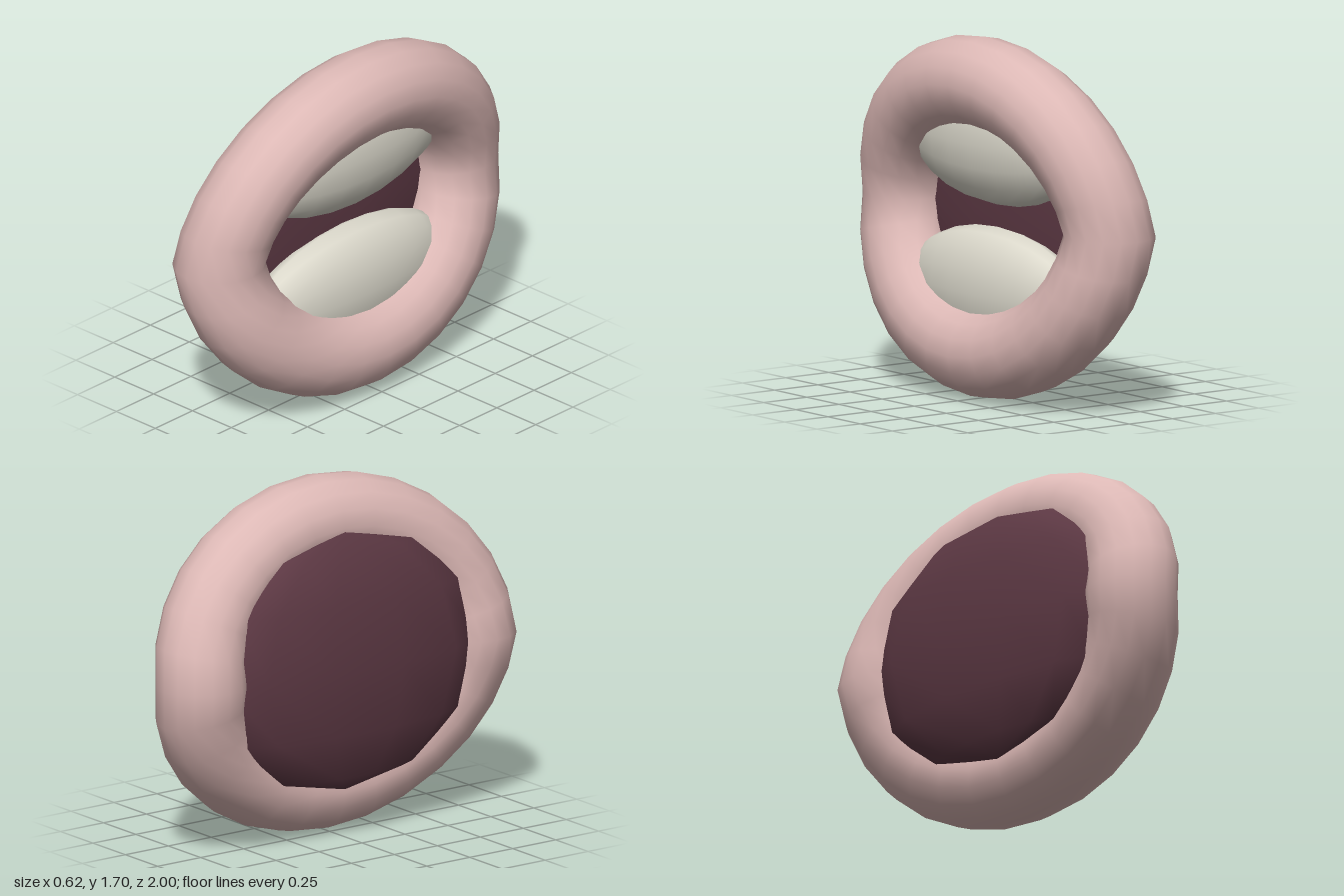
import * as THREE from 'three';
import { mergeVertices } from 'three/addons/utils/BufferGeometryUtils.js';

const MID_Y = 0.85;

function makeMaterial(name, color) {
  const material = new THREE.MeshStandardMaterial({ color });
  material.name = name;
  return material;
}

// Oval ring facing +x, its upper and lower halves bent forward from the corners
function lipGeometry() {
  const geo = new THREE.TorusGeometry(1, 0.2, 16, 28);
  const pos = geo.attributes.position;
  const uv = geo.attributes.uv;
  for (let i = 0; i < pos.count; i++) {
    const t = uv.getX(i) * Math.PI * 2;
    const p = uv.getY(i) * Math.PI * 2;
    const bend = -0.05 + 0.143 * Math.abs(Math.sin(t));
    pos.setXYZ(
      i,
      bend + 0.215 * Math.sin(p),
      (0.638 + 0.212 * Math.cos(p)) * Math.sin(t),
      -(0.78 + 0.22 * Math.cos(p)) * Math.cos(t)
    );
  }
  geo.deleteAttribute('uv');
  geo.deleteAttribute('normal');
  const merged = mergeVertices(geo, 1e-4);
  merged.computeVertexNormals();
  return merged;
}

// Coarse flattened ellipsoid, shallower on the front than on the back
function cavityGeometry() {
  const geo = new THREE.SphereGeometry(1, 12, 6, Math.PI / 12);
  const pos = geo.attributes.position;
  for (let i = 0; i < pos.count; i++) {
    const x = pos.getX(i);
    pos.setXYZ(i, x * (x < 0 ? 0.197 : 0.12), pos.getY(i) * 0.62, pos.getZ(i) * 0.77);
  }
  geo.deleteAttribute('uv');
  geo.deleteAttribute('normal');
  const merged = mergeVertices(geo, 1e-4);
  merged.computeVertexNormals();
  return merged;
}

export function createModel() {
  const model = new THREE.Group();
  model.name = 'mouth';

  const lipPink = makeMaterial('lipPink', 0xdcb8b5);
  const toothIvory = makeMaterial('toothIvory', 0xdcd9cc);
  const cavityMaroon = makeMaterial('cavityMaroon', 0x5c3843);

  const add = (name, geo, material, x, y) => {
    const mesh = new THREE.Mesh(geo, material);
    mesh.name = name;
    mesh.position.set(x, y, 0);
    model.add(mesh);
  };

  add('lips', lipGeometry(), lipPink, 0, MID_Y);
  add('mouthCavity', cavityGeometry(), cavityMaroon, -0.12, MID_Y);

  // Rounded tooth plates, mirrored above and below the gap
  const tooth = new THREE.SphereGeometry(1, 16, 12);
  tooth.rotateX(Math.PI / 2);
  tooth.scale(0.17, 0.3, 0.64);
  add('upperTeeth', tooth, toothIvory, 0.02, MID_Y + 0.352);
  add('lowerTeeth', tooth, toothIvory, 0.02, MID_Y - 0.352);

  return model;
}
